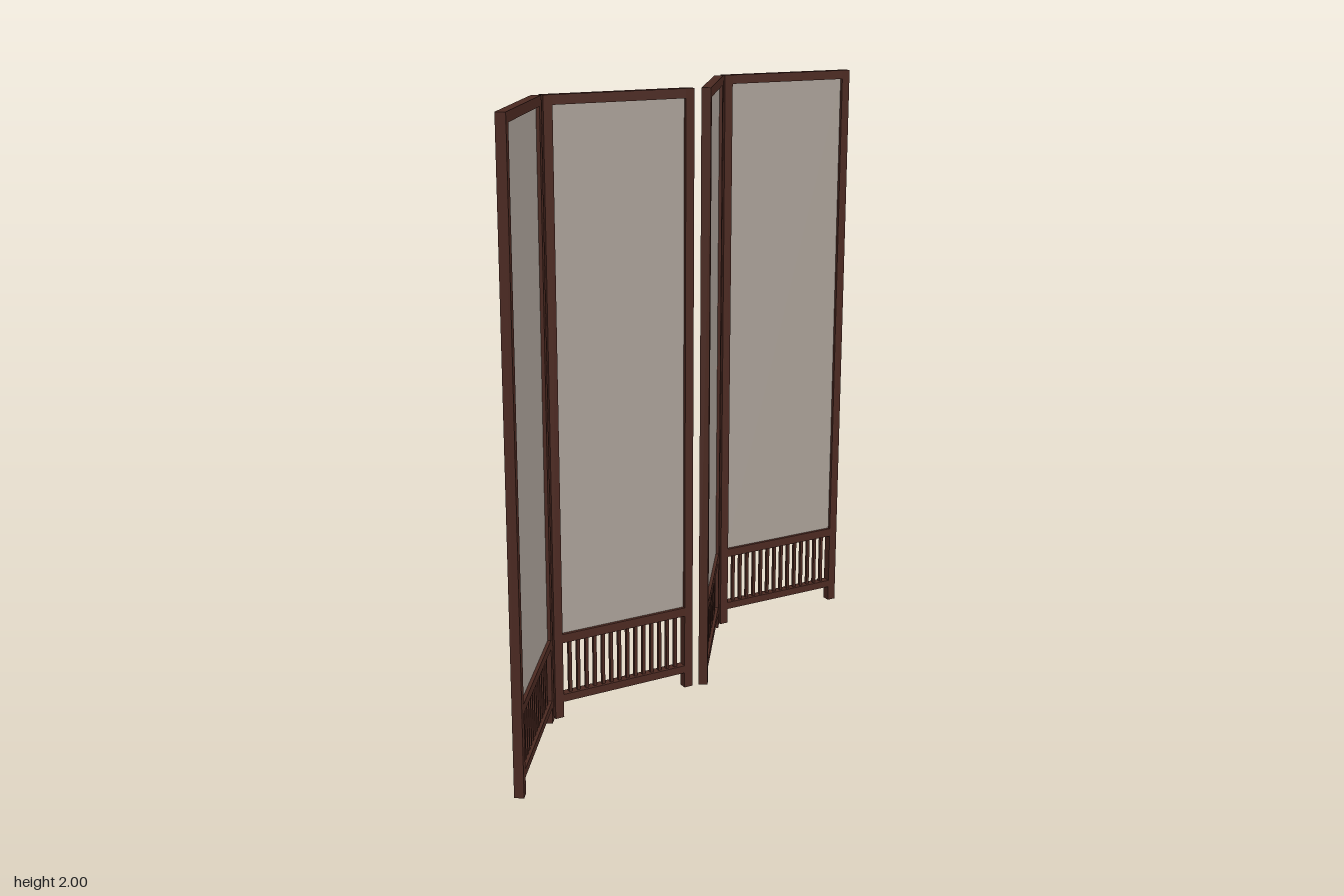
import * as THREE from 'three';

const LENGTH = 0.51;  // panel width
const FRAME = 0.03;   // post and rail thickness
const INNER = LENGTH - 2 * FRAME;
const SLATS = 14;

export function createModel() {
  const wood = new THREE.MeshStandardMaterial({ color: 0x4b2921 });
  wood.name = 'dark wood';
  const cloth = new THREE.MeshStandardMaterial({ color: 0xa89f96 });
  cloth.name = 'grey cloth';

  const box = (parent, name, material, w, h, d, x, y) => {
    const mesh = new THREE.Mesh(new THREE.BoxGeometry(w, h, d), material);
    mesh.name = name;
    mesh.position.set(x, y, 0);
    parent.add(mesh);
  };

  function makePanel() {
    const panel = new THREE.Group();
    // Full-height posts, which also form the feet
    for (const side of [-1, 1]) {
      box(panel, 'post', wood, FRAME, 2, FRAME, side * (LENGTH - FRAME) / 2, 1);
    }
    // Rails between the posts
    box(panel, 'topRail', wood, INNER, 0.03, FRAME, 0, 1.985);
    box(panel, 'middleRail', wood, INNER, 0.03, FRAME, 0, 0.275);
    box(panel, 'bottomRail', wood, INNER, 0.026, FRAME, 0, 0.067);
    // Cloth infill
    box(panel, 'clothScreen', cloth, INNER, 1.68, 0.008, 0, 1.13);
    // Row of upright slats near the floor
    for (let i = 1; i <= SLATS; i++) {
      const x = -INNER / 2 + (INNER * i) / (SLATS + 1);
      box(panel, 'slat', wood, 0.011, 0.18, 0.011, x, 0.17);
    }
    return panel;
  }

  // Zigzag of four panels: centre x, centre z, turn in degrees
  const group = new THREE.Group();
  group.name = 'foldingScreen';
  const layout = [
    [-0.714, 0, 30],
    [-0.243, -0.018, -25],
    [0.231, 0, 30],
    [0.704, -0.018, -25],
  ];
  layout.forEach(([x, z, turn], i) => {
    const panel = makePanel();
    panel.name = `panel${i + 1}`;
    panel.position.set(x, 0, z);
    panel.rotation.y = THREE.MathUtils.degToRad(turn);
    group.add(panel);
  });
  return group;
}
